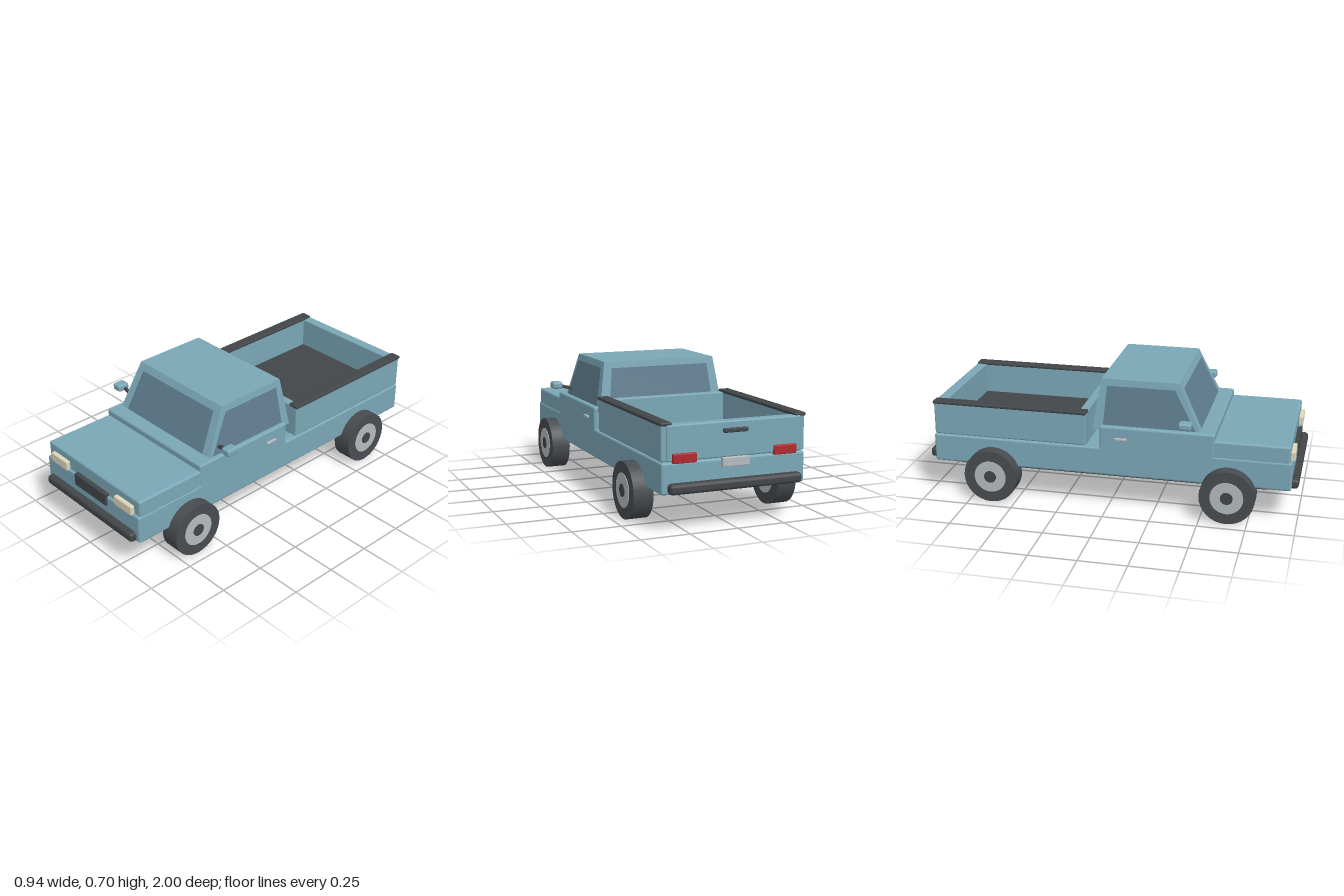
import * as THREE from 'three';
import { RoundedBoxGeometry } from 'three/addons/geometries/RoundedBoxGeometry.js';

const mat = (name, color, side = THREE.FrontSide) => {
  const m = new THREE.MeshStandardMaterial({ color, side });
  m.name = name;
  return m;
};

export function createModel() {
  const paint = mat('body paint', 0x7ba7b7);
  const glass = mat('window glass', 0x5f7d90, THREE.DoubleSide);
  const trim = mat('dark trim', 0x424649);
  const rubber = mat('tyre rubber', 0x484c50);
  const metal = mat('wheel metal', 0xb4babe);
  const lamp = mat('headlight cream', 0xdcd6bb);
  const red = mat('tail light red', 0xb02a2c);

  const truck = new THREE.Group();
  truck.name = 'pickupTruck';
  const add = (name, geometry, material, parent = truck) => {
    const mesh = new THREE.Mesh(geometry, material);
    mesh.name = name;
    parent.add(mesh);
    return mesh;
  };
  // Rounded box from its min and max on each axis
  const box = (name, material, [x0, x1], [y0, y1], [z0, z1], r = 0.01) => {
    const mesh = add(name, new RoundedBoxGeometry(x1 - x0, y1 - y0, z1 - z0, 2, r), material);
    mesh.position.set((x0 + x1) / 2, (y0 + y1) / 2, (z0 + z1) / 2);
    return mesh;
  };
  // The same box on the left (+x) and right (-x)
  const pair = (name, material, [x0, x1], y, z, r) => {
    box(name + 'Left', material, [x0, x1], y, z, r);
    box(name + 'Right', material, [-x1, -x0], y, z, r);
  };

  // Body
  box('chassis', trim, [-0.33, 0.33], [0.16, 0.21], [-0.84, 0.84], 0.012);
  box('lowerBody', paint, [-0.38, 0.38], [0.185, 0.34], [-0.96, 0.965], 0.012);
  box('hood', paint, [-0.376, 0.376], [0.3, 0.426], [0.5, 0.952], 0.012);
  box('cabBase', paint, [-0.38, 0.38], [0.3, 0.461], [-0.042, 0.565], 0.012);

  // Cab: a box tapered toward the roof
  const Y0 = 0.432, Y1 = 0.702;
  const at = (a, b, y) => a + (b - a) * (y - Y0) / (Y1 - Y0);
  const halfWidth = y => at(0.36, 0.32, y);
  const frontZ = y => at(0.497, 0.367, y);
  const rearZ = y => at(-0.082, -0.042, y);
  const cab = new THREE.BoxGeometry(2, Y1 - Y0, 2).translate(0, (Y0 + Y1) / 2, 0);
  const p = cab.attributes.position;
  for (let i = 0; i < p.count; i++) {
    const y = p.getY(i);
    p.setX(i, p.getX(i) * halfWidth(y));
    p.setZ(i, p.getZ(i) > 0 ? frontZ(y) : rearZ(y));
  }
  cab.computeVertexNormals();
  add('cab', cab, paint);

  // Windows: thin quads lying just off the cab faces
  const pane = (name, corners) => {
    const g = new THREE.BufferGeometry();
    g.setAttribute('position', new THREE.Float32BufferAttribute(corners.flat(), 3));
    g.setIndex([0, 1, 2, 0, 2, 3]);
    g.computeVertexNormals();
    add(name, g, glass);
  };
  const low = 0.462, high = 0.667, off = 0.003;
  const endPane = (name, z) => pane(name, [
    [-0.303, low, z(low)], [0.303, low, z(low)], [0.28, high, z(high)], [-0.28, high, z(high)]]);
  endPane('windshield', y => frontZ(y) + off);
  endPane('rearWindow', y => rearZ(y) - off);
  for (const [side, s] of [['Left', 1], ['Right', -1]]) {
    const x = y => s * (halfWidth(y) + off);
    pane('sideWindow' + side, [
      [x(low), low, 0.462], [x(low), low, -0.026], [x(high), high, -0.01], [x(high), high, 0.348]]);
  }

  // Cargo bed
  box('bedFloor', trim, [-0.33, 0.33], [0.33, 0.35], [-0.91, -0.16], 0.004);
  pair('bedSide', paint, [0.33, 0.38], [0.343, 0.52], [-0.953, -0.115], 0.008);
  box('bedFrontWall', paint, [-0.34, 0.34], [0.335, 0.518], [-0.163, -0.118], 0.006);
  box('tailgate', paint, [-0.355, 0.355], [0.343, 0.518], [-0.962, -0.905], 0.008);
  pair('bedRail', trim, [0.325, 0.386], [0.513, 0.53], [-0.957, -0.113], 0.006);

  // Bumpers
  box('frontBumper', trim, [-0.355, 0.355], [0.19, 0.242], [0.945, 1], 0.018);
  box('rearBumper', trim, [-0.35, 0.35], [0.19, 0.242], [-1, -0.945], 0.018);

  // Front details
  pair('headlight', lamp, [0.196, 0.332], [0.332, 0.385], [0.945, 0.974], 0.006);
  box('grille', trim, [-0.13, 0.13], [0.286, 0.355], [0.945, 0.976], 0.004);

  // Rear details
  pair('tailLight', red, [0.205, 0.327], [0.335, 0.382], [-0.975, -0.95], 0.005);
  box('tailgateHandle', trim, [-0.065, 0.065], [0.462, 0.484], [-0.973, -0.955], 0.005);
  box('rearPlate', metal, [-0.072, 0.072], [0.3, 0.345], [-0.979, -0.955], 0.004);

  // Door handles and mirrors
  pair('doorHandle', metal, [0.372, 0.39], [0.388, 0.402], [0.04, 0.106], 0.004);
  pair('mirror', paint, [0.411, 0.469], [0.502, 0.541], [0.388, 0.456], 0.012);
  for (const s of [1, -1]) {
    const arm = box(s > 0 ? 'mirrorArmLeft' : 'mirrorArmRight', trim,
      [-0.04, 0.04], [-0.009, 0.009], [-0.009, 0.009], 0.005);
    arm.position.set(s * 0.385, 0.508, 0.415);
    arm.rotation.z = s * 0.24;
  }

  // Wheels
  const disc = (r, x0, x1) => new THREE.CylinderGeometry(r, r, x1 - x0, 32)
    .rotateZ(-Math.PI / 2).translate((x0 + x1) / 2, 0, 0);
  for (const [end, z] of [['front', 0.643], ['rear', -0.628]]) {
    for (const s of [1, -1]) {
      const wheel = new THREE.Group();
      wheel.name = end + (s > 0 ? 'LeftWheel' : 'RightWheel');
      add('tyre', disc(0.145, -0.052, 0.052), rubber, wheel);
      add('rim', disc(0.087, -0.054, 0.055), metal, wheel);
      add('hubCap', disc(0.033, 0, 0.058), trim, wheel);
      wheel.position.set(s * 0.392, 0.145, z);
      if (s < 0) wheel.rotation.y = Math.PI;
      truck.add(wheel);
    }
  }
  return truck;
}
